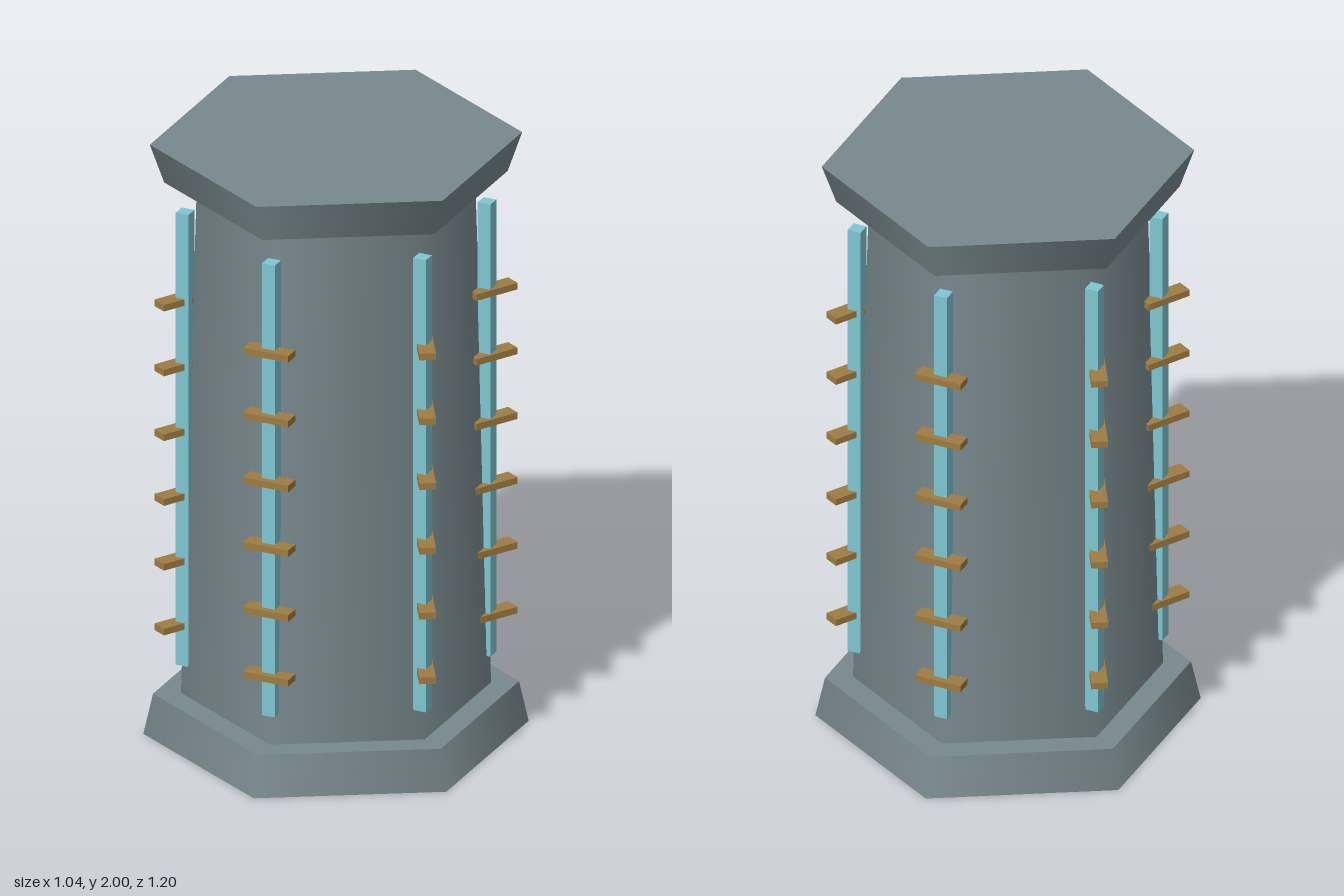
import * as THREE from 'three';

const stone = new THREE.MeshStandardMaterial({ color: 0x78888d });
stone.name = 'grey stone';
const glow = new THREE.MeshStandardMaterial({ color: 0x7fc6d1 });
glow.name = 'pale cyan';
const bronze = new THREE.MeshStandardMaterial({ color: 0x9f7c42 });
bronze.name = 'bronze';

// Six-sided tapered section with corners on the z axis, standing from y0 to y1
function hexSection(name, rTop, rBottom, y0, y1) {
  const mesh = new THREE.Mesh(new THREE.CylinderGeometry(rTop, rBottom, y1 - y0, 6), stone);
  mesh.position.y = (y0 + y1) / 2;
  mesh.name = name;
  return mesh;
}

export function createModel() {
  const model = new THREE.Group();
  model.name = 'hexagonalTower';

  model.add(
    hexSection('base', 0.57, 0.6, 0, 0.135),
    hexSection('column', 0.433, 0.483, 0.13, 1.875),
    hexSection('cap', 0.58, 0.535, 1.87, 2)
  );

  const stripGeometry = new THREE.BoxGeometry(0.044, 1.535, 0.044);
  const rungGeometry = new THREE.BoxGeometry(0.155, 0.022, 0.052);

  // One upright strip with six rungs at every corner
  for (let i = 0; i < 6; i++) {
    const angle = (i * Math.PI) / 3;
    const sx = Math.sin(angle), cz = Math.cos(angle);
    const corner = new THREE.Group();
    corner.name = 'cornerLadder' + (i + 1);

    const strip = new THREE.Mesh(stripGeometry, glow);
    strip.name = 'lightStrip';
    strip.position.set(sx * 0.47, 1.0025, cz * 0.47);
    corner.add(strip);

    // Rungs turn against the corner angle
    for (let j = 0; j < 6; j++) {
      const rung = new THREE.Mesh(rungGeometry, bronze);
      rung.name = 'rung';
      rung.position.set(sx * 0.487, 0.37 + j * 0.22, cz * 0.487);
      rung.rotation.y = -angle;
      corner.add(rung);
    }
    model.add(corner);
  }
  return model;
}
